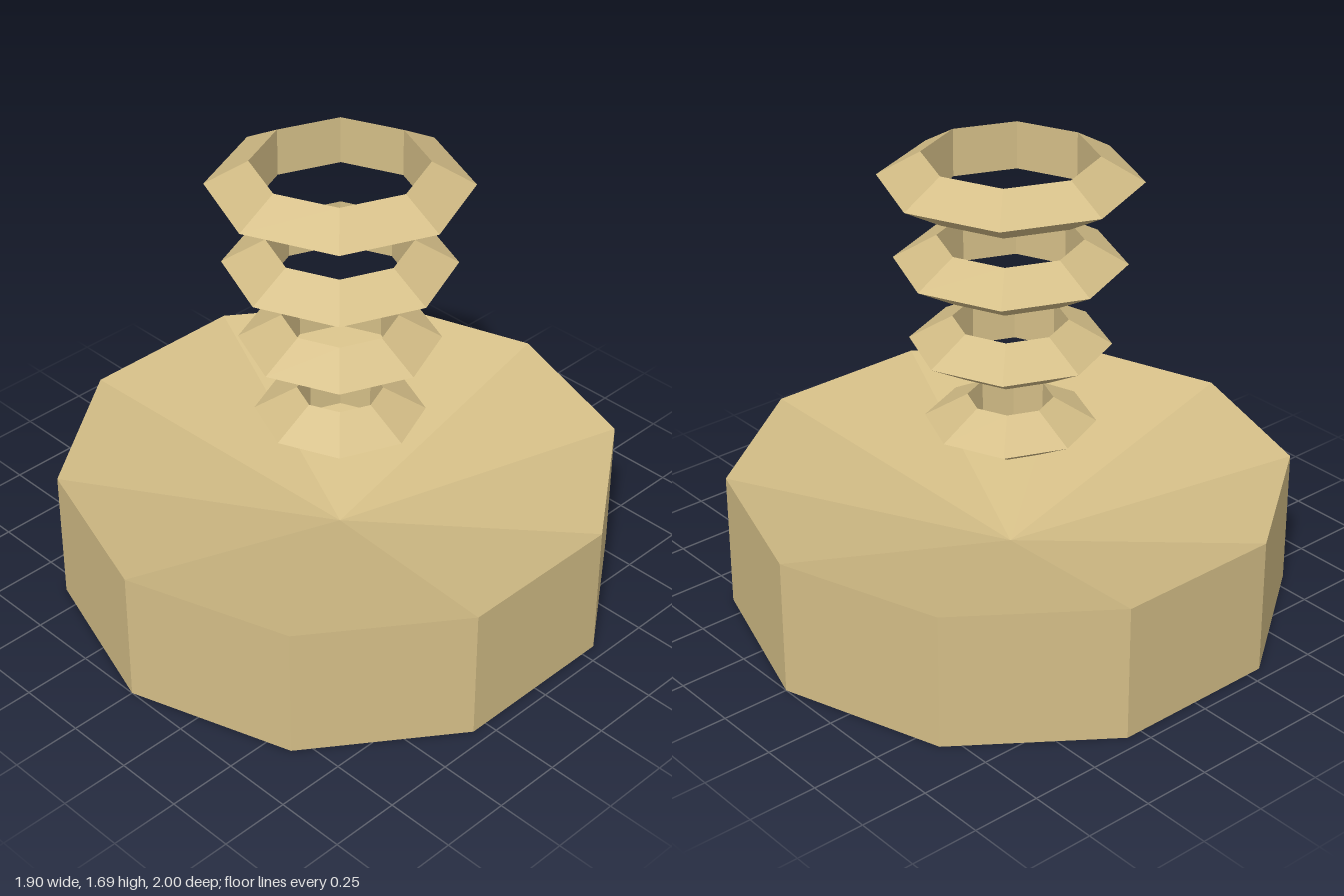
import * as THREE from 'three';

export function createModel() {
  const model = new THREE.Group();
  const sand = new THREE.MeshStandardMaterial({ color: 0xd4be87, flatShading: true });
  sand.name = 'sand';

  // Ten-sided base with a conical hollow sunk into its top
  const profile = [[0, 0], [1, 0], [1, 0.5], [0, 0.2]].map(([r, y]) => new THREE.Vector2(r, y));
  const base = new THREE.Mesh(new THREE.LatheGeometry(profile, 10), sand);
  base.name = 'base';
  model.add(base);

  // Floating eight-sided rings of triangular section, widening upwards
  const rings = new THREE.Group();
  rings.name = 'rings';
  for (let i = 0; i < 4; i++) {
    const geometry = new THREE.TorusGeometry(0.2 + i * 0.05, 0.1, 3, 8);
    geometry.rotateX(Math.PI / 2);
    const ring = new THREE.Mesh(geometry, sand);
    ring.name = `ring${i + 1}`;
    ring.position.y = 0.7 + i * 0.3;
    rings.add(ring);
  }
  model.add(rings);

  return model;
}
